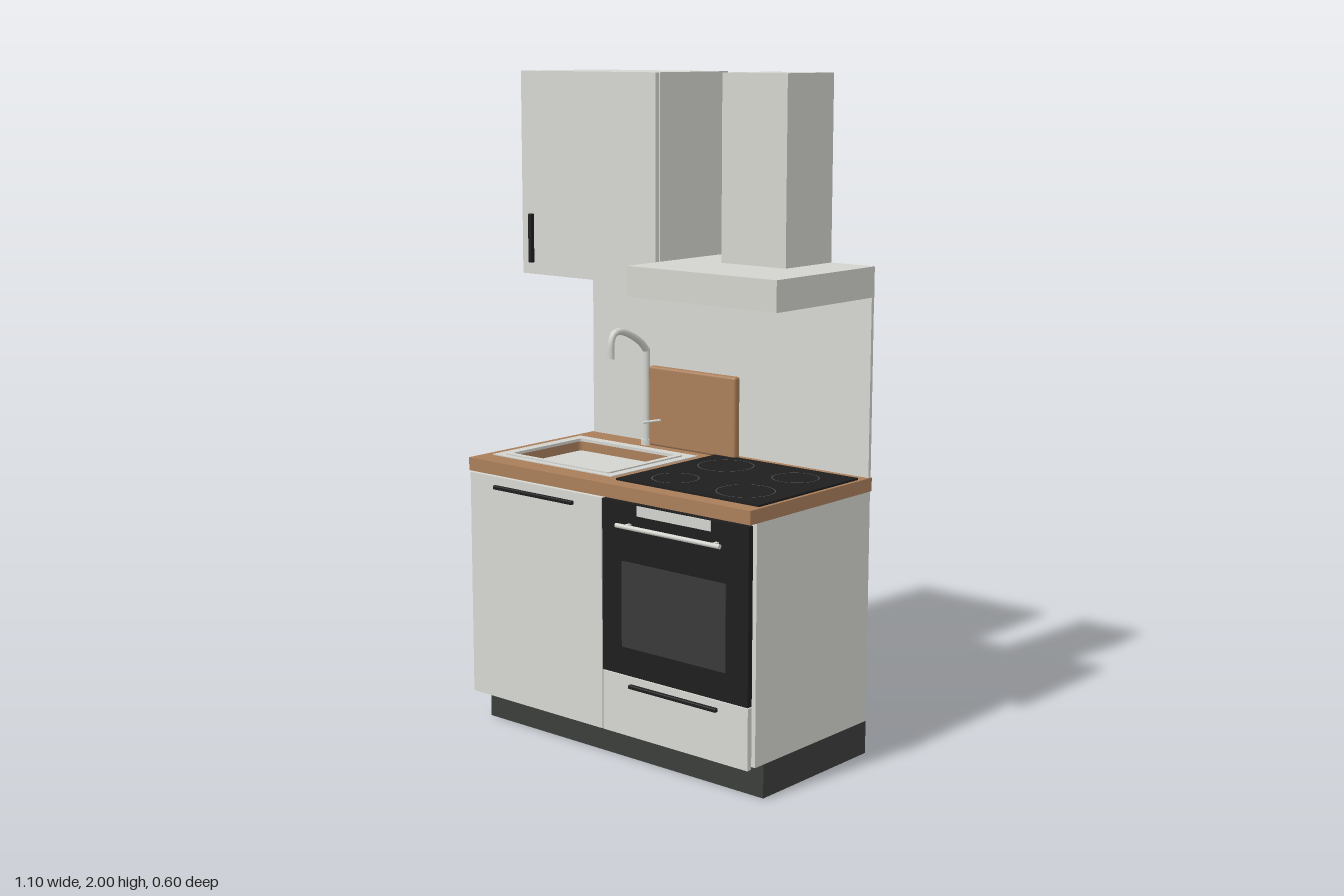
import * as THREE from 'three';
import { RoundedBoxGeometry } from 'three/addons/geometries/RoundedBoxGeometry.js';

const paint = (name, color) => {
  const m = new THREE.MeshStandardMaterial({ color });
  m.name = name;
  return m;
};

export function createModel() {
  const white = paint('cabinet white', 0xd6d7d1);
  const steel = paint('steel', 0xd3d4ce);
  const wood = paint('wood', 0xa97e5a);
  const black = paint('black', 0x1e1e1e);
  const glass = paint('oven glass', 0x393939);
  const plinthGrey = paint('plinth grey', 0x3c3e3c);
  const ringGrey = paint('ring grey', 0x555555);

  const model = new THREE.Group();
  model.name = 'kitchenette';

  const add = (name, geometry, material, x = 0, y = 0, z = 0) => {
    const mesh = new THREE.Mesh(geometry, material);
    mesh.name = name;
    mesh.position.set(x, y, z);
    model.add(mesh);
    return mesh;
  };
  // box given by its limits on each axis, optionally with rounded edges
  const box = (name, mat, x0, x1, y0, y1, z0, z1, r = 0) => {
    const s = [x1 - x0, y1 - y0, z1 - z0];
    const g = r ? new RoundedBoxGeometry(...s, 2, r) : new THREE.BoxGeometry(...s);
    return add(name, g, mat, (x0 + x1) / 2, (y0 + y1) / 2, (z0 + z1) / 2);
  };
  const rect = (target, x0, x1, z0, z1, r = 0.001) => {
    // shape y is -z, so the extrusion can be laid flat
    const a = -z1, b = -z0;
    target.moveTo(x0 + r, a);
    target.lineTo(x1 - r, a).quadraticCurveTo(x1, a, x1, a + r);
    target.lineTo(x1, b - r).quadraticCurveTo(x1, b, x1 - r, b);
    target.lineTo(x0 + r, b).quadraticCurveTo(x0, b, x0, b - r);
    target.lineTo(x0, a + r).quadraticCurveTo(x0, a, x0 + r, a);
    return target;
  };
  // flat horizontal slab with a rectangular opening
  const frame = (name, mat, outer, inner, y0, y1, r) => {
    const shape = rect(new THREE.Shape(), ...outer);
    shape.holes.push(rect(new THREE.Path(), ...inner, r));
    const g = new THREE.ExtrudeGeometry(shape, { depth: y1 - y0, bevelEnabled: false, curveSegments: 5 });
    g.rotateX(-Math.PI / 2);
    return add(name, g, mat, 0, y0, 0);
  };
  const tube = (name, mat, points, radius, segments = 1) => {
    const curve = new THREE.CatmullRomCurve3(points.map(p => new THREE.Vector3(...p)));
    add(name, new THREE.TubeGeometry(curve, segments, radius, 12), mat);
    for (const end of [0, 1]) {
      const cap = add(name + 'End', new THREE.CircleGeometry(radius, 12), mat);
      cap.position.copy(curve.getPoint(end));
      const dir = curve.getTangent(end).multiplyScalar(end ? 1 : -1);
      cap.quaternion.setFromUnitVectors(new THREE.Vector3(0, 0, 1), dir);
    }
  };

  // base cabinet
  box('plinth', plinthGrey, -0.545, 0.543, 0, 0.1, -0.3, 0.19);
  box('baseCabinet', white, -0.545, 0.543, 0.1, 0.803, -0.3, 0.228);
  box('baseDoor', white, -0.545, -0.002, 0.1, 0.795, 0.245, 0.262);
  box('drawerFront', white, 0.002, 0.543, 0.1, 0.28, 0.245, 0.262);
  for (const [x, y] of [[-0.5, 0.2], [-0.5, 0.7], [0.06, 0.19], [0.48, 0.19], [0.06, 0.6], [0.48, 0.6]])
    box('frontMount', steel, x - 0.015, x + 0.015, y - 0.015, y + 0.015, 0.228, 0.246);

  // worktop with the sink opening
  frame('worktop', wood, [-0.55, 0.547, -0.303, 0.263], [-0.485, -0.065, -0.165, 0.165], 0.8, 0.84, 0.02);

  // sink: flat rim, raised lip and floor
  frame('sinkRim', steel, [-0.52, -0.028, -0.2, 0.19], [-0.485, -0.065, -0.165, 0.165], 0.84, 0.843, 0.02);
  frame('sinkLip', steel, [-0.492, -0.057, -0.172, 0.172, 0.02], [-0.472, -0.077, -0.152, 0.152], 0.838, 0.847, 0.012);
  box('sinkFloor', steel, -0.485, -0.065, 0.802, 0.805, -0.165, 0.165);

  // tap
  const tx = -0.275, tz = -0.243;
  add('tapBase', new THREE.CylinderGeometry(0.018, 0.018, 0.018, 16), steel, tx, 0.849, tz);
  tube('tapStem', steel, [[tx, 0.84, tz], [tx, 1.145, tz]], 0.011);
  tube('tapSpout', steel, [[tx, 1.14, tz], [tx, 1.165, -0.22], [tx, 1.2, -0.16], [tx, 1.212, -0.115],
    [tx, 1.203, -0.09], [tx, 1.18, -0.081], [tx, 1.13, -0.08]], 0.011, 20);
  tube('tapLever', steel, [[tx, 0.912, tz + 0.012], [-0.19, 0.932, tz + 0.032]], 0.004);

  // chopping board leaning at the wall
  box('choppingBoard', wood, -0.263, 0.085, 0.84, 1.092, -0.265, -0.238, 0.008);

  // hob with four heating zones
  box('hob', black, 0.008, 0.535, 0.84, 0.846, -0.25, 0.21);
  for (const [x, z, r] of [[0.14, 0.1, 0.07], [0.4, 0.1, 0.085], [0.14, -0.13, 0.085], [0.4, -0.13, 0.07]]) {
    const ring = add('heatingZone', new THREE.RingGeometry(r - 0.003, r, 40), ringGrey, x, 0.847, z);
    ring.rotation.x = -Math.PI / 2;
  }

  // oven
  box('ovenFront', black, 0.002, 0.543, 0.283, 0.795, 0.245, 0.263);
  box('ovenWindow', glass, 0.08, 0.465, 0.368, 0.622, 0.262, 0.267);
  box('ovenDisplay', steel, 0.138, 0.41, 0.762, 0.792, 0.262, 0.266);
  tube('ovenHandle', steel, [[0.08, 0.732, 0.29], [0.463, 0.732, 0.29]], 0.007);
  for (const x of [0.11, 0.433]) box('ovenHandlePost', steel, x - 0.005, x + 0.005, 0.728, 0.736, 0.262, 0.288);

  // black bar handles
  box('doorHandle', black, -0.437, -0.11, 0.758, 0.77, 0.262, 0.275, 0.003);
  box('drawerHandle', black, 0.11, 0.437, 0.248, 0.26, 0.262, 0.275, 0.003);
  box('wallDoorHandle', black, -0.508, -0.496, 1.42, 1.57, 0.023, 0.04, 0.003);

  // wall panel, wall cabinet and extractor hood
  box('wallPanel', white, -0.545, 0.543, 0.84, 1.383, -0.302, -0.291);
  box('wallCabinet', white, -0.545, -0.001, 1.385, 2, -0.303, 0.006);
  box('wallCabinetDoor', white, -0.545, -0.003, 1.385, 2, 0.008, 0.024);
  box('hood', steel, 0.001, 0.543, 1.367, 1.456, -0.303, 0.152);
  box('hoodChimney', steel, 0.154, 0.389, 1.456, 2, -0.303, -0.087);

  return model;
}
